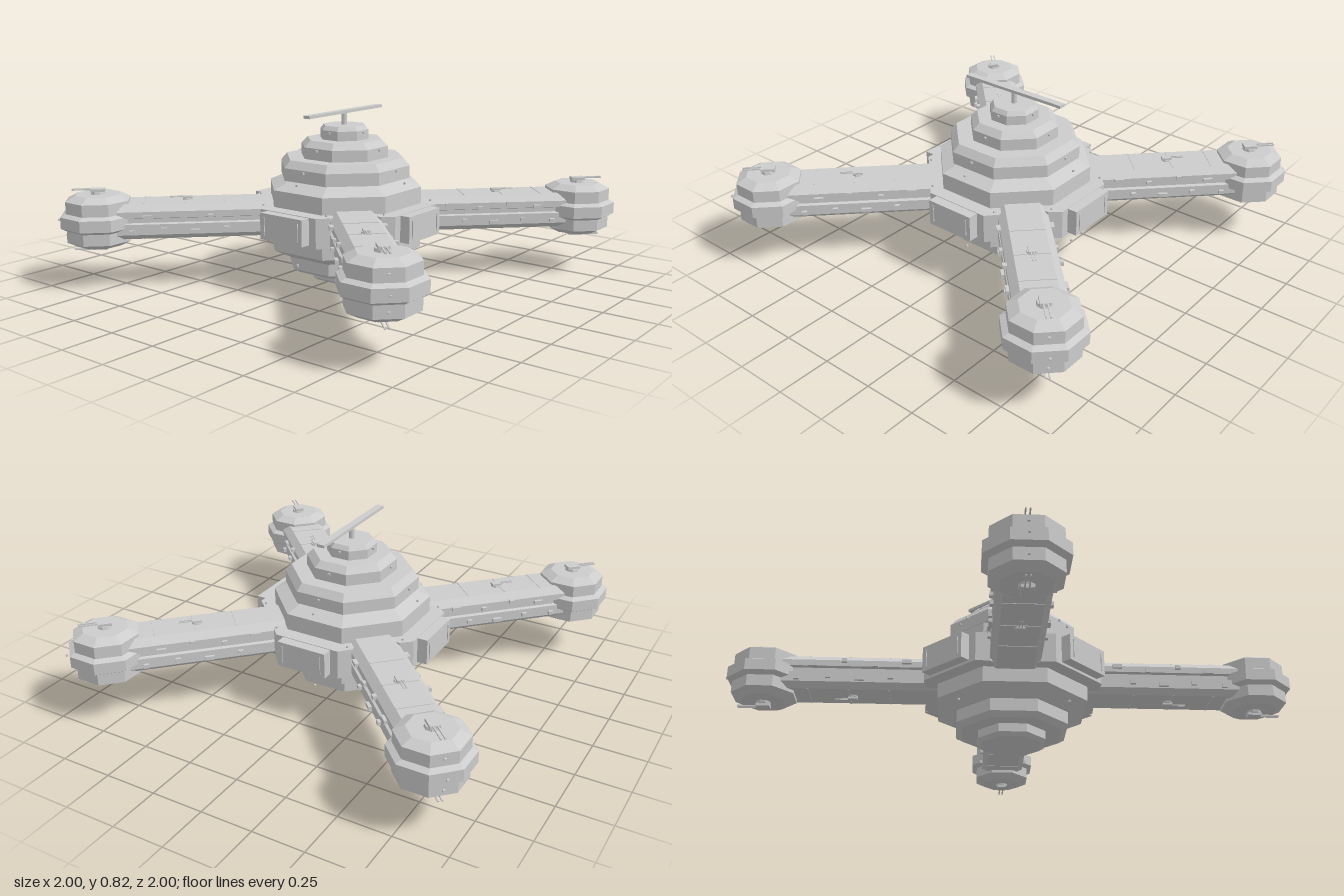
import * as THREE from 'three';

const material = new THREE.MeshStandardMaterial({ color: 0xcccccc, flatShading: true, side: THREE.DoubleSide });

function add(parent, name, geometry, x = 0, y = 0, z = 0) {
  const mesh = new THREE.Mesh(geometry, material);
  mesh.name = name;
  mesh.position.set(x, y, z);
  parent.add(mesh);
  return mesh;
}

const box = (parent, name, w, h, d, x, y, z) => add(parent, name, new THREE.BoxGeometry(w, h, d), x, y, z);

// Octagonal solid with flats facing the axes; profile is [distance to flat, height]
function octagon(parent, name, profile) {
  const k = 1 / Math.cos(Math.PI / 8);
  const points = profile.map(([r, y]) => new THREE.Vector2(r * k, y));
  return add(parent, name, new THREE.LatheGeometry(points, 8, Math.PI / 8));
}

// Prism along z from a right-half outline, mirrored in x
function prism(half, length) {
  const left = half.map(([x, y]) => [-x, y]).reverse();
  const shape = new THREE.Shape([...half, ...left].map(([x, y]) => new THREE.Vector2(x, y)));
  return new THREE.ExtrudeGeometry(shape, { depth: length, bevelEnabled: false });
}

// Small turret with a thin barrel pointing outwards; side is 1 above, -1 below
function turret(parent, name, y, z, side, size) {
  const group = new THREE.Group();
  group.name = name;
  group.position.set(0, y, z);
  group.scale.set(size, size * side, size);
  const base = add(group, 'turretBase', new THREE.CylinderGeometry(0.032, 0.036, 0.016, 8), 0, 0.004, 0);
  base.rotation.y = Math.PI / 8;
  box(group, 'turretHead', 0.045, 0.014, 0.065, 0, 0.017, 0);
  for (const x of [-0.009, 0.009]) box(group, 'turretBarrel', 0.006, 0.006, 0.09, x, 0.021, 0.075);
  parent.add(group);
}

function buildHull(root) {
  const hull = new THREE.Group();
  hull.name = 'hull';
  octagon(hull, 'lowerCap', [[0, 0], [0.135, 0], [0.157, 0.015], [0.157, 0.06], [0, 0.06]]);
  octagon(hull, 'lowerTier', [[0, 0.055], [0.23, 0.055], [0.26, 0.075], [0.26, 0.14], [0, 0.14]]);
  octagon(hull, 'mainBody', [[0, 0.135], [0.27, 0.135], [0.35, 0.178], [0.35, 0.47], [0.265, 0.51], [0, 0.51]]);
  octagon(hull, 'upperTier', [[0, 0.505], [0.298, 0.51], [0.298, 0.57], [0.27, 0.605], [0, 0.605]]);
  octagon(hull, 'bridgeTier', [[0, 0.6], [0.2, 0.605], [0.2, 0.66], [0.17, 0.69], [0, 0.69]]);
  octagon(hull, 'topCap', [[0, 0.685], [0.11, 0.69], [0.11, 0.735], [0.095, 0.755], [0, 0.755]]);

  // Mast and bar antenna
  add(hull, 'mast', new THREE.CylinderGeometry(0.013, 0.013, 0.07, 8), 0, 0.785, 0);
  box(hull, 'antennaBar', 0.565, 0.014, 0.036, 0, 0.818, 0);

  // Marker lights on the four sides of each tier
  const lights = [[0.355, 0.13], [0.355, 0.51], [0.31, 0.56], [0.212, 0.65], [0.117, 0.725]];
  for (const [r, y] of lights) {
    for (let i = 0; i < 4; i++) {
      const a = i * Math.PI / 2;
      box(hull, 'markerLight', 0.009, 0.009, 0.009, r * Math.sin(a), y, r * Math.cos(a));
    }
  }
  root.add(hull);
}

function buildDock(angle) {
  const dock = new THREE.Group();
  dock.name = 'dock';
  dock.rotation.y = angle;
  // Bay housing: its plan is extruded upwards
  const plan = prism([[0.21, -0.3], [0.21, -0.37], [0.165, -0.42]], 0.14);
  plan.rotateX(-Math.PI / 2);
  add(dock, 'dockHousing', plan, 0, 0.25, 0);
  box(dock, 'dockPort', 0.25, 0.125, 0.1, 0, 0.325, 0.42);
  for (const s of [-1, 1]) {
    box(dock, 'dockRail', 0.006, 0.085, 0.006, s * 0.1, 0.325, 0.471);
    box(dock, 'dockLight', 0.008, 0.008, 0.008, s * 0.19, 0.4, 0.375);
  }
  return dock;
}

function buildArm(angle) {
  const arm = new THREE.Group();
  arm.name = 'arm';
  arm.rotation.y = angle;

  // Beam with bevelled edges and a slot along each side
  const half = [[0.085, 0.24], [0.115, 0.265], [0.115, 0.315], [0.1, 0.32],
    [0.1, 0.34], [0.115, 0.345], [0.115, 0.375], [0.08, 0.407]];
  add(arm, 'armBeam', prism(half, 0.9), 0, 0, 0.25);

  // Panel seams across the beam
  for (const z of [0.58, 0.77, 0.96]) {
    box(arm, 'armSeam', 0.16, 0.003, 0.006, 0, 0.408, z);
    box(arm, 'armSeam', 0.17, 0.003, 0.006, 0, 0.239, z);
  }

  // Small fittings along both sides
  for (const s of [-1, 1]) {
    for (let i = 0; i < 8; i++) {
      const y = [0.37, 0.29, 0.35, 0.28][i % 4];
      box(arm, 'sideFitting', 0.02, 0.018, i % 3 ? 0.025 : 0.045, s * 0.12, y, 0.5 + i * 0.073);
    }
  }

  turret(arm, 'armTurretTop', 0.407, 0.755, 1, 0.7);
  turret(arm, 'armTurretBottom', 0.24, 0.755, -1, 0.7);

  // Pod at the end of the arm
  const pod = new THREE.Group();
  pod.name = 'pod';
  pod.position.z = 0.83 * Math.SQRT2;
  octagon(pod, 'podBody', [[0, 0.2], [0.1, 0.2], [0.145, 0.225], [0.145, 0.28], [0.17, 0.295],
    [0.17, 0.35], [0.145, 0.363], [0.145, 0.42], [0.1, 0.445], [0, 0.445]]);
  turret(pod, 'podTurretTop', 0.446, 0, 1, 1);
  turret(pod, 'podTurretBottom', 0.199, 0, -1, 1);
  for (const [y, z] of [[0.25, 0.15], [0.323, 0.185], [0.395, 0.15]]) {
    box(pod, 'podLight', 0.01, 0.01, 0.01, 0, y, z);
  }
  arm.add(pod);
  return arm;
}

export function createModel() {
  const root = new THREE.Group();
  root.name = 'spaceStation';
  buildHull(root);
  for (let i = 0; i < 4; i++) {
    root.add(buildDock(i * Math.PI / 2));
    root.add(buildArm(Math.PI / 4 + i * Math.PI / 2));
  }
  return root;
}
